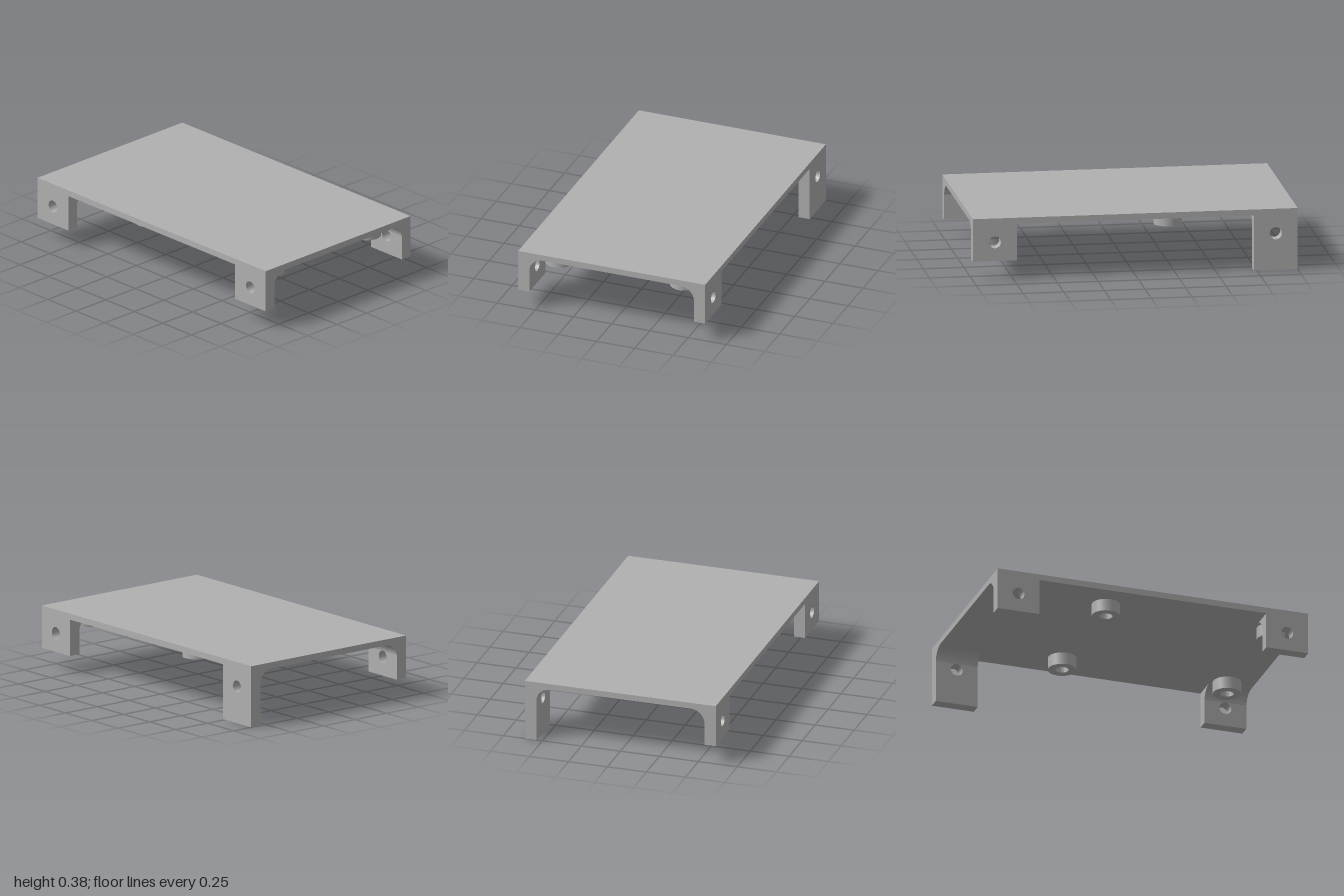
import * as THREE from 'three';
import { toCreasedNormals } from 'three/addons/utils/BufferGeometryUtils.js';

const TOP = 0.383, UNDER = 0.345;          // plate faces
const HALF_DEPTH = 0.612, LEG_INNER = 0.539;
const LEG_WIDTH = 0.27, LEG_X = 0.865;
const FILLET = 0.088, HOLE_R = 0.038;

// Extrude with smooth curves and sharp edges
function extrude(shape, depth) {
  const g = new THREE.ExtrudeGeometry(shape, { depth, bevelEnabled: false, curveSegments: 24 });
  return toCreasedNormals(g, Math.PI / 6);
}

function circleHole(x, y, r) {
  const hole = new THREE.Path();
  hole.absarc(x, y, r, 0, Math.PI * 2, true);
  return hole;
}

// Drilled tab with a curved fillet into the plate, built for the +z edge
function createLeg(material, bottom, holeY) {
  const leg = new THREE.Group();
  const w = LEG_WIDTH / 2;

  const tab = new THREE.Shape();
  tab.moveTo(-w, bottom);
  tab.lineTo(w, bottom);
  tab.lineTo(w, UNDER);
  tab.lineTo(-w, UNDER);
  tab.closePath();
  tab.holes.push(circleHole(0, holeY, HOLE_R));
  const tabMesh = new THREE.Mesh(extrude(tab, HALF_DEPTH - LEG_INNER), material);
  tabMesh.name = 'legTab';
  tabMesh.position.z = LEG_INNER;

  // Fillet section in (z, y), starting just above the screw hole
  const cz = LEG_INNER - FILLET, cy = UNDER - FILLET;
  const startY = holeY + HOLE_R;
  const a0 = Math.asin(Math.max(0, (startY - cy) / FILLET));
  const section = new THREE.Shape();
  section.moveTo(LEG_INNER, UNDER);
  section.lineTo(LEG_INNER, cy + FILLET * Math.sin(a0));
  section.absarc(cz, cy, FILLET, a0, Math.PI / 2, false);
  section.closePath();
  const filletGeometry = extrude(section, LEG_WIDTH);
  filletGeometry.rotateY(-Math.PI / 2);
  filletGeometry.translate(w, 0, 0);
  const fillet = new THREE.Mesh(filletGeometry, material);
  fillet.name = 'legFillet';

  leg.add(tabMesh, fillet);
  return leg;
}

export function createModel() {
  const model = new THREE.Group();
  model.name = 'mountingPlate';
  const grey = new THREE.MeshStandardMaterial({ color: 0xb0b0b0 });
  grey.name = 'plainGrey';

  // Top plate
  const plate = new THREE.Mesh(new THREE.BoxGeometry(2, TOP - UNDER, HALF_DEPTH * 2), grey);
  plate.name = 'plate';
  plate.position.y = (TOP + UNDER) / 2;
  model.add(plate);

  // Corner legs, one of them longer
  for (const sx of [-1, 1]) {
    for (const sz of [-1, 1]) {
      const long = sx < 0 && sz < 0;
      const leg = createLeg(grey, long ? 0 : 0.117, long ? 0.23 : 0.235);
      leg.name = long ? 'longLeg' : 'leg';
      leg.position.x = sx * LEG_X;
      if (sz < 0) leg.rotation.y = Math.PI;
      model.add(leg);
    }
  }

  // Hollow standoffs under the plate
  const ring = new THREE.Shape();
  ring.absarc(0, 0, 0.087, 0, Math.PI * 2, false);
  ring.holes.push(circleHole(0, 0, 0.04));
  const standoffGeometry = extrude(ring, 0.077);
  standoffGeometry.rotateX(Math.PI / 2);
  for (const x of [-0.232, 0.83]) {
    for (const z of [-0.408, 0.408]) {
      const standoff = new THREE.Mesh(standoffGeometry, grey);
      standoff.name = 'standoff';
      standoff.position.set(x, UNDER, z);
      model.add(standoff);
    }
  }
  return model;
}
